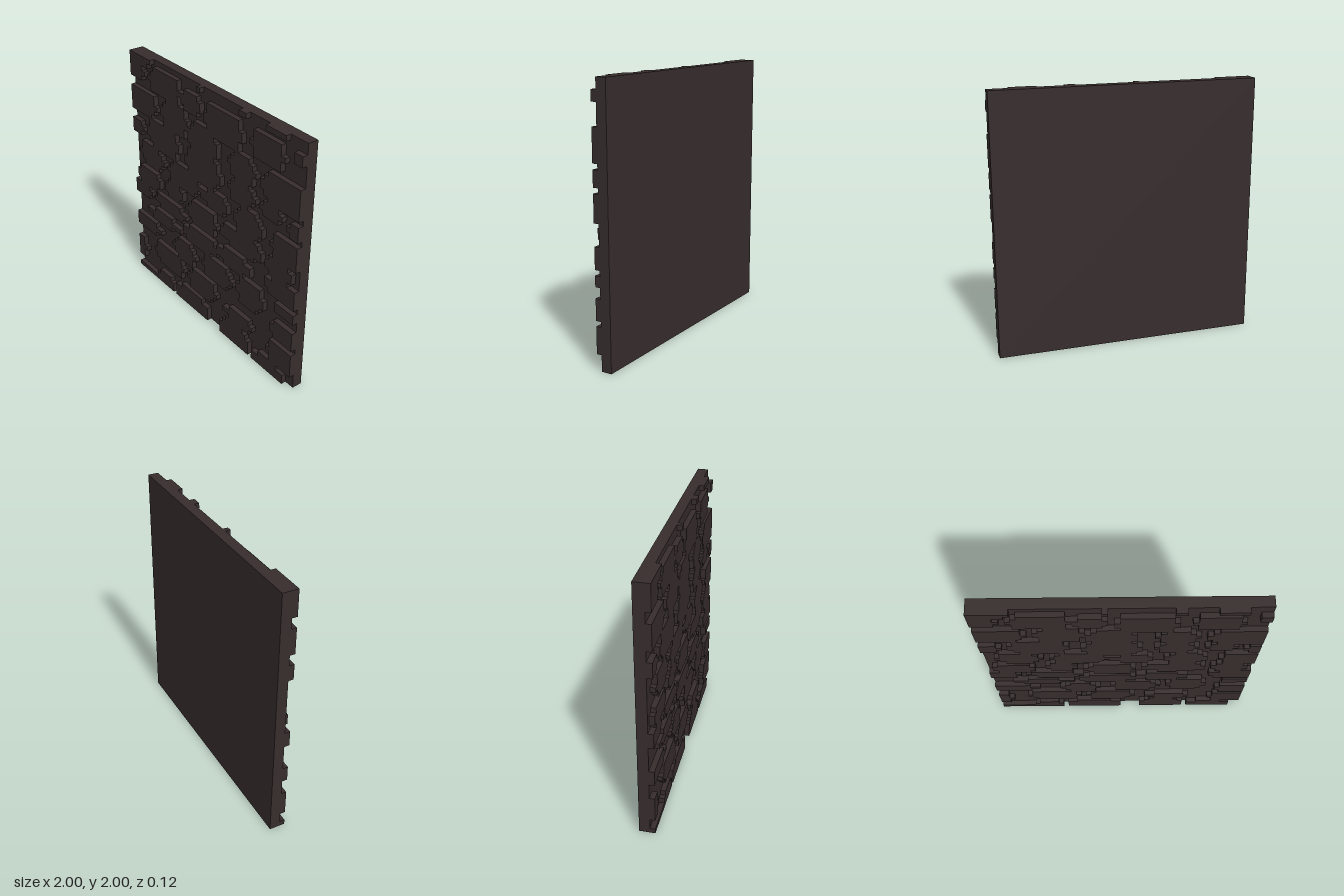
import * as THREE from 'three';

const CELL = 0.04; // the stones follow a 50 x 50 grid
const COUNT = 50;

// Small seeded generator for the stepped corners
function makeRandom(seed) {
  return () => {
    seed = (seed * 16807) % 2147483647;
    return seed / 2147483647;
  };
}

// Stepped block within the given cells; corners lose whole cells, panel edges stay straight
function stoneGeometry(left, right, bottom, top, random) {
  const height = top - bottom;
  const widest = Math.min(4, Math.floor((right - left) / 4));
  const cornerSteps = (cut) => {
    const outer = cut ? 1 + Math.floor(random() * widest) : 0;
    return [outer, cut && height > 4 ? Math.min(1, outer) : 0];
  };
  const sideInsets = (atPanelEdge) => {
    const low = cornerSteps(!atPanelEdge && bottom > 0);
    const high = cornerSteps(!atPanelEdge && top < COUNT && height > 1);
    return (row) => Math.max(low[row] ?? 0, high[height - 1 - row] ?? 0);
  };
  const insetLeft = sideInsets(left === 0);
  const insetRight = sideInsets(right === COUNT);

  // Up the right side, then down the left
  const up = [], down = [];
  for (let row = 0; row < height; row++) {
    const y = (bottom + row) * CELL;
    const r = (right - insetRight(row)) * CELL - 1;
    const l = (left + insetLeft(row)) * CELL - 1;
    up.push(new THREE.Vector2(r, y), new THREE.Vector2(r, y + CELL));
    down.unshift(new THREE.Vector2(l, y + CELL), new THREE.Vector2(l, y));
  }
  // Keep only the true corners
  const all = [...up, ...down];
  const corners = all.filter((p, i) => {
    const a = all.at(i - 1), b = all[(i + 1) % all.length];
    return Math.abs((p.x - a.x) * (b.y - p.y) - (p.y - a.y) * (b.x - p.x)) > 1e-7;
  });
  return new THREE.ExtrudeGeometry(new THREE.Shape(corners), { depth: 0.04, bevelEnabled: false });
}

export function createModel() {
  const model = new THREE.Group();
  model.name = 'stoneWallPanel';
  const stone = new THREE.MeshStandardMaterial({ color: 0x372d2d });
  stone.name = 'dark stone';
  const random = makeRandom(41);

  // Flat backing slab
  const slab = new THREE.Mesh(new THREE.BoxGeometry(2, 2, 0.08), stone);
  slab.name = 'backingSlab';
  slab.position.set(0, 1, -0.02);
  model.add(slab);

  // Raised stones of one course, each given as left, right, bottom, top in cells
  const addCourse = (name, ...stones) => {
    const group = new THREE.Group();
    group.name = name;
    stones.forEach((cells, i) => {
      const mesh = new THREE.Mesh(stoneGeometry(...cells, random), stone);
      mesh.name = `raisedStone${i + 1}`;
      mesh.position.z = 0.02;
      group.add(mesh);
    });
    model.add(group);
  };

  addCourse('bottomCourse',
    [0, 7, 0, 1], [7, 13, 0, 3], [14, 25, 0, 4], [29, 38, 0, 5], [39, 48, 0, 3]);
  addCourse('secondCourse',
    [0, 3, 3, 8], [6, 17, 5, 10], [18, 28, 5, 10], [30, 39, 5, 8], [43, 50, 3, 8]);
  addCourse('thirdCourse',
    [0, 9, 11, 14], [13, 21, 10, 15], [23, 33, 11, 16], [34, 42, 11, 17], [44, 50, 9, 13]);
  addCourse('fourthCourse',
    [0, 6, 19, 22], [4, 16, 15, 18], [7, 18, 19, 22], [17, 28, 16, 20], [28, 38, 17, 21],
    [44, 50, 15, 17], [42, 50, 18, 22]);
  addCourse('fifthCourse',
    [1, 9, 22, 26], [11, 17, 23, 27], [18, 28, 21, 26], [29, 41, 22, 26], [42, 49, 22, 26]);
  addCourse('sixthCourse',
    [2, 11, 27, 32], [12, 23, 27, 32], [23, 31, 27, 31], [33, 41, 26, 32], [43, 50, 26, 31]);
  addCourse('seventhCourse',
    [0, 4, 33, 36], [5, 16, 32, 38], [18, 29, 31, 37], [31, 39, 32, 37],
    [40, 46, 33, 36], [47, 50, 32, 35]);
  addCourse('eighthCourse',
    [0, 9, 38, 43], [10, 19, 38, 44], [19, 28, 36, 43], [31, 39, 37, 42], [40, 50, 36, 42]);
  addCourse('ninthCourse',
    [0, 5, 45, 48], [6, 17, 44, 49], [17, 23, 44, 48], [24, 35, 42, 48],
    [37, 46, 43, 48], [47, 50, 46, 48]);
  addCourse('topCourse',
    [0, 7, 48, 50], [21, 24, 49, 50], [33, 37, 49, 50], [40, 47, 49, 50]);
  return model;
}
